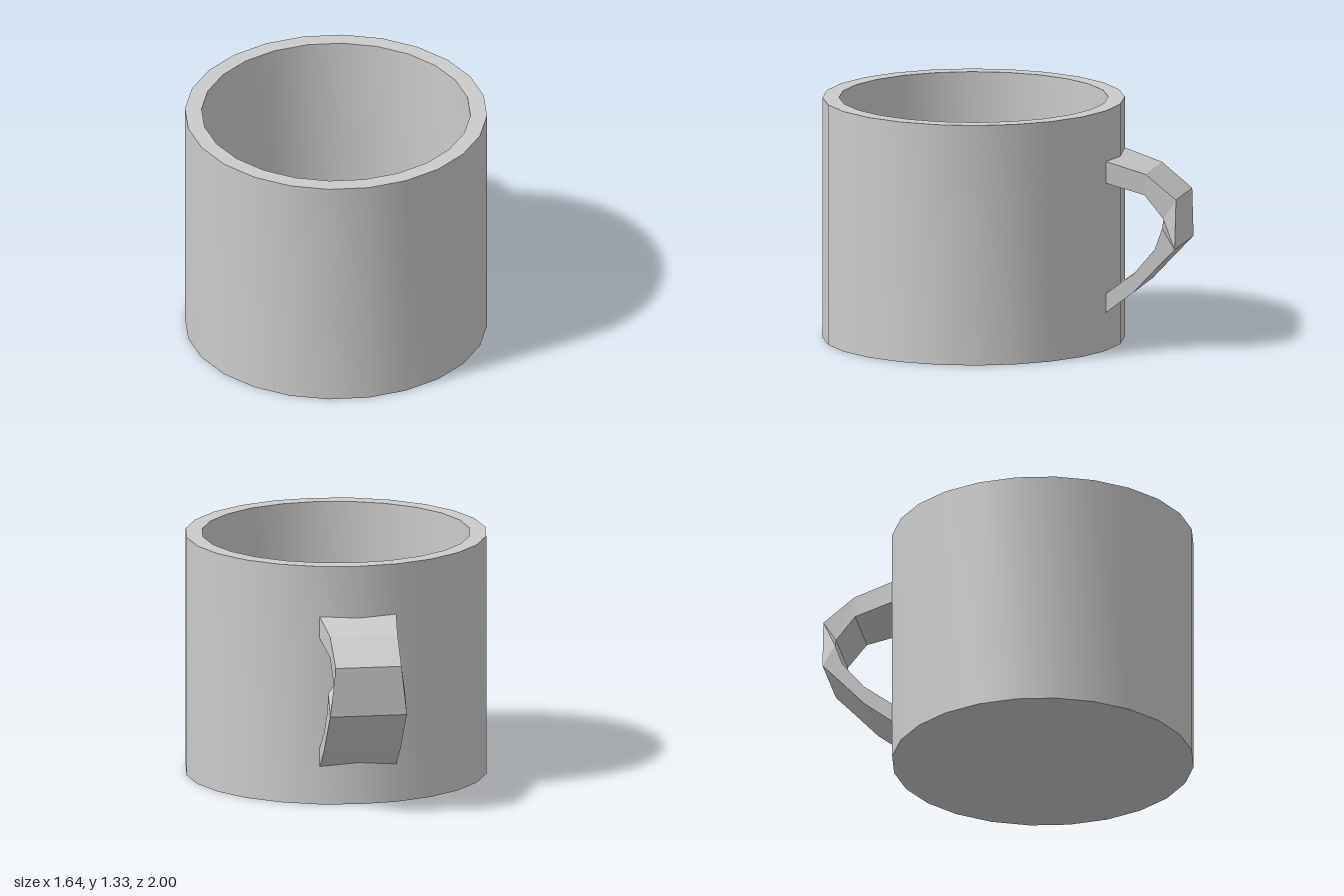
import * as THREE from 'three';
import { toCreasedNormals } from 'three/addons/utils/BufferGeometryUtils.js';

const CUP_Z = 0.177;

// Hollow cup turned from one closed wall profile, 24 sides
function createCup(material) {
  const profile = [
    [0, 0], [0.82, 0], [0.82, 1.325], [0.73, 1.325], [0.73, 0.09], [0, 0.09],
  ].map(([r, y]) => new THREE.Vector2(r, y));
  const cup = new THREE.Mesh(
    toCreasedNormals(new THREE.LatheGeometry(profile, 24), 0.6), material);
  cup.name = 'cup';
  cup.position.z = CUP_Z;
  return cup;
}

// Faceted handle lofted through four-cornered sections, top to bottom
function createHandle(material) {
  // outer z, outer y, inner z, inner y, half width
  const sections = [
    [-0.615, 1.045, -0.615, 0.925, 0.21],
    [-0.83, 0.98, -0.825, 0.865, 0.185],
    [-1.0, 0.845, -0.93, 0.735, 0.18],
    [-1.0, 0.575, -0.93, 0.69, 0.21],
    [-0.9, 0.47, -0.89, 0.575, 0.21],
    [-0.77, 0.33, -0.77, 0.43, 0.21],
    [-0.615, 0.21, -0.615, 0.315, 0.21],
  ];
  const rings = sections.map(([oz, oy, iz, iy, w]) => [
    [w, oy, oz], [-w, oy, oz], [-w, iy, iz], [w, iy, iz],
  ]);
  const positions = [];
  const quad = (a, b, c, d) => positions.push(...a, ...b, ...c, ...a, ...c, ...d);

  for (let i = 0; i < rings.length - 1; i++) {
    for (let k = 0; k < 4; k++) {
      const n = (k + 1) % 4;
      quad(rings[i][k], rings[i + 1][k], rings[i + 1][n], rings[i][n]);
    }
  }
  // Ends set into the cup wall
  quad(...rings[0]);
  quad(...[...rings[rings.length - 1]].reverse());

  const geometry = new THREE.BufferGeometry();
  geometry.setAttribute('position', new THREE.Float32BufferAttribute(positions, 3));
  geometry.computeVertexNormals();
  const handle = new THREE.Mesh(geometry, material);
  handle.name = 'handle';
  return handle;
}

export function createModel() {
  const model = new THREE.Group();
  model.name = 'mug';
  const smooth = new THREE.MeshStandardMaterial({ color: 0xcccccc });
  const faceted = new THREE.MeshStandardMaterial({ color: 0xcccccc, flatShading: true });
  model.add(createCup(smooth), createHandle(faceted));
  return model;
}
